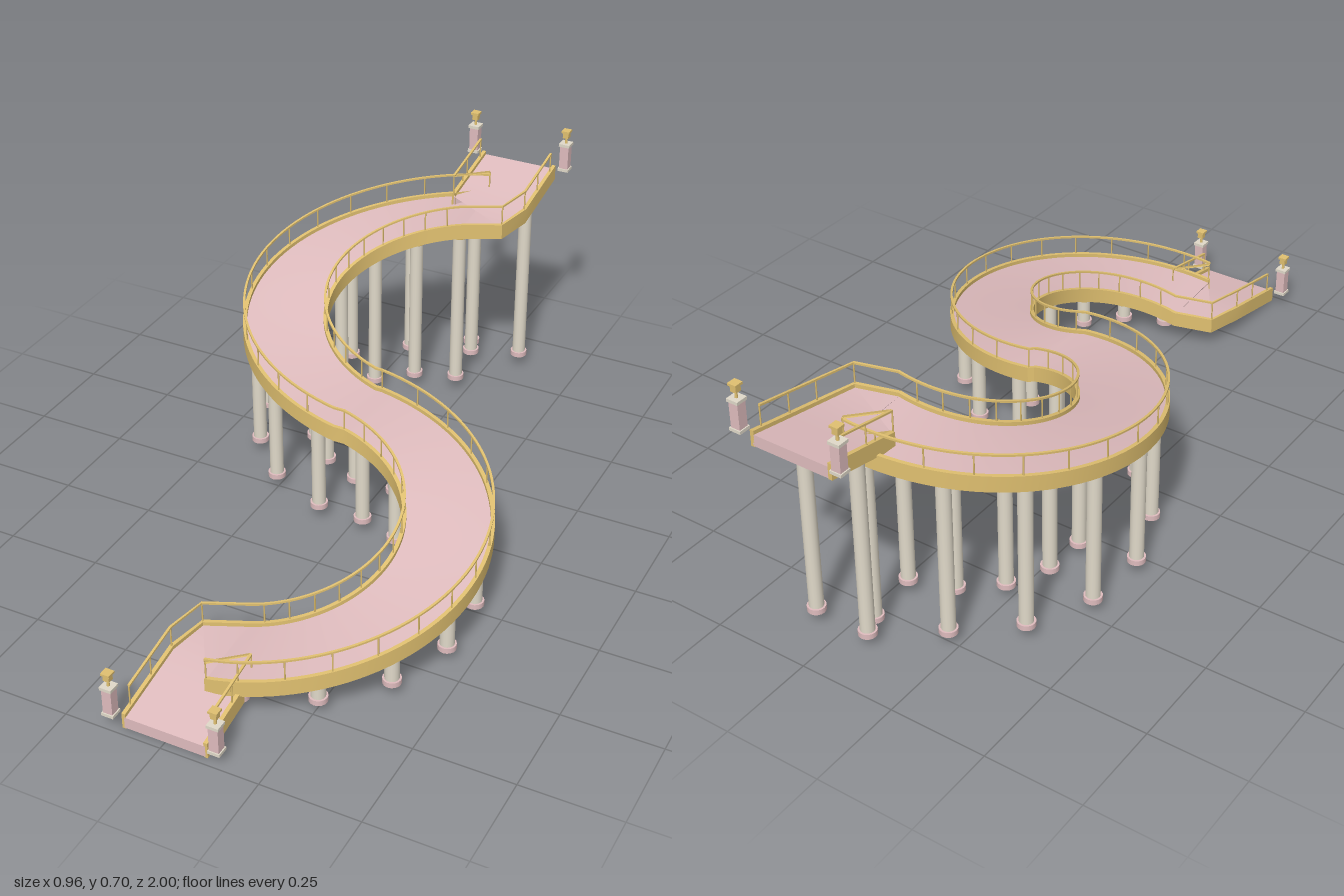
import * as THREE from 'three';
import { toCreasedNormals } from 'three/addons/utils/BufferGeometryUtils.js';

const R = 0.37, CZ = 0.367, HALF = 0.105, Z_END = 0.98;
const S_ARC = Z_END - CZ - R, ARC = Math.PI * R, TOTAL = 2 * (S_ARC + ARC);
const STEPS = 56; // sections per half circle
const heightAt = s => 0.03 + 0.55 * s / TOTAL;

// A frame is a point on the centre line plus the sideways direction (nx, nz)
const frame = (x, z, nx, nz, s) => ({ x, z, nx, nz, y: heightAt(s) });
const straight = z => frame(0, z, 1, 0, z > 0 ? Z_END - z : TOTAL - Z_END - z);
function lowerBend(a) {
  const sn = Math.sin(a), cs = Math.cos(a);
  return frame(R * sn, CZ + R * cs, sn, cs, S_ARC + R * a);
}
function upperBend(a) {
  const sn = Math.sin(a), cs = Math.cos(a);
  return frame(-R * sn, -CZ + R * cs, sn, -cs, S_ARC + ARC + R * a);
}
const at = (f, u, h = 0) => new THREE.Vector3(f.x + f.nx * u, f.y + h, f.z + f.nz * u);

// Sweep a four-cornered section [u, h] (counter-clockwise) along frames
function sweep(frames, u0, u1, h0, h1) {
  const corners = [[u0, h0], [u1, h0], [u1, h1], [u0, h1]];
  const pos = [], idx = [];
  for (const f of frames) for (const [u, h] of corners) pos.push(...at(f, u, h).toArray());
  for (let i = 0; i < frames.length - 1; i++) {
    for (let j = 0; j < 4; j++) {
      const a = i * 4 + j, b = i * 4 + (j + 1) % 4;
      idx.push(a, a + 4, b + 4, a, b + 4, b);
    }
  }
  const e = (frames.length - 1) * 4;
  idx.push(0, 1, 2, 0, 2, 3, e, e + 2, e + 1, e, e + 3, e + 2);
  const g = new THREE.BufferGeometry();
  g.setAttribute('position', new THREE.Float32BufferAttribute(pos, 3));
  g.setIndex(idx);
  return toCreasedNormals(g, 0.3);
}

export function createModel() {
  const model = new THREE.Group();
  const mat = (name, color) => {
    const m = new THREE.MeshStandardMaterial({ color });
    m.name = name;
    return m;
  };
  const pink = mat('pink stone', 0xdfbcbe);
  const cream = mat('cream stone', 0xe0d9c9);
  const gold = mat('gold', 0xe0c070);
  const add = (name, geo, material, parent = model) => {
    const m = new THREE.Mesh(geo, material);
    m.name = name;
    parent.add(m);
    return m;
  };

  // Centre line: ramp, kinked corner, two half circles, corner, ramp
  const frames = [straight(Z_END), straight(0.95), straight(0.86), straight(0.77),
    frame(-0.027, 0.755, 0.54, 0.84, 0.23)];
  const posts = frames.slice(1);
  for (let i = 1; i < 2 * STEPS; i++) {
    const f = i <= STEPS ? lowerBend(Math.PI * i / STEPS) : upperBend(Math.PI * (i - STEPS) / STEPS);
    frames.push(f);
    if (i % 4 === 0) posts.push(f);
  }
  const top = [frame(0.027, -0.755, 0.54, 0.84, TOTAL - 0.23),
    straight(-0.77), straight(-0.86), straight(-0.95)];
  frames.push(...top, straight(-Z_END));
  posts.push(...top);

  // Deck, side fascias and handrails
  add('deck', sweep(frames, -HALF, HALF, -0.03, 0), pink);
  const railFrames = frames.slice(1, -1);
  const postGeo = new THREE.CylinderGeometry(0.002, 0.002, 0.064, 6);
  for (const side of [-1, 1]) {
    const label = side < 0 ? 'Left' : 'Right';
    const m = side * (HALF + 0.001);
    add('fascia' + label, sweep(frames, m - 0.005, m + 0.005, -0.032, 0.01), gold);
    add('handrail' + label, sweep(railFrames, m - 0.003, m + 0.003, 0.061, 0.066), gold);
    const group = new THREE.Group();
    group.name = 'railPosts' + label;
    model.add(group);
    for (const f of posts) {
      add('railPost', postGeo, gold, group).position.copy(at(f, m, 0.031));
    }
  }

  // Paired support columns with pink bases and gold capitals
  const supports = [straight(-0.86)];
  for (let k = 0; k < 8; k++) {
    const a = THREE.MathUtils.degToRad(12 + 23 * k);
    supports.push(lowerBend(a), upperBend(a));
  }
  const baseGeo = new THREE.CylinderGeometry(0.023, 0.023, 0.014, 16);
  const capGeo = new THREE.CylinderGeometry(0.023, 0.021, 0.011, 16);
  for (const f of supports) {
    for (const u of [-0.075, 0.075]) {
      const p = at(f, u, -0.03), h = p.y - 0.03;
      const column = new THREE.Group();
      column.name = 'column';
      column.position.set(p.x, 0.03, p.z);
      model.add(column);
      add('columnShaft', new THREE.CylinderGeometry(0.018, 0.018, h, 16), cream, column).position.y = h / 2;
      add('columnBase', baseGeo, pink, column).position.y = 0.007;
      add('columnCapital', capGeo, gold, column).position.y = h - 0.0055;
    }
  }

  // Lantern pedestals at both ends
  const box = (w, h) => new THREE.BoxGeometry(w, h, w);
  for (const [z, y] of [[0.983, 0.032], [-0.983, 0.582]]) {
    for (const x of [-0.137, 0.137]) {
      const p = new THREE.Group();
      p.name = 'pedestal';
      p.position.set(x, y, z);
      model.add(p);
      add('pedestalBase', box(0.031, 0.008), cream, p).position.y = 0.004;
      add('pedestalShaft', box(0.025, 0.066), pink, p).position.y = 0.041;
      add('pedestalCap', box(0.031, 0.008), cream, p).position.y = 0.078;
      add('lanternStem', new THREE.CylinderGeometry(0.003, 0.004, 0.016, 8), gold, p).position.y = 0.09;
      add('lanternBody', box(0.016, 0.016), gold, p).position.y = 0.106;
      add('lanternCap', box(0.023, 0.006), gold, p).position.y = 0.117;
    }
  }
  return model;
}
